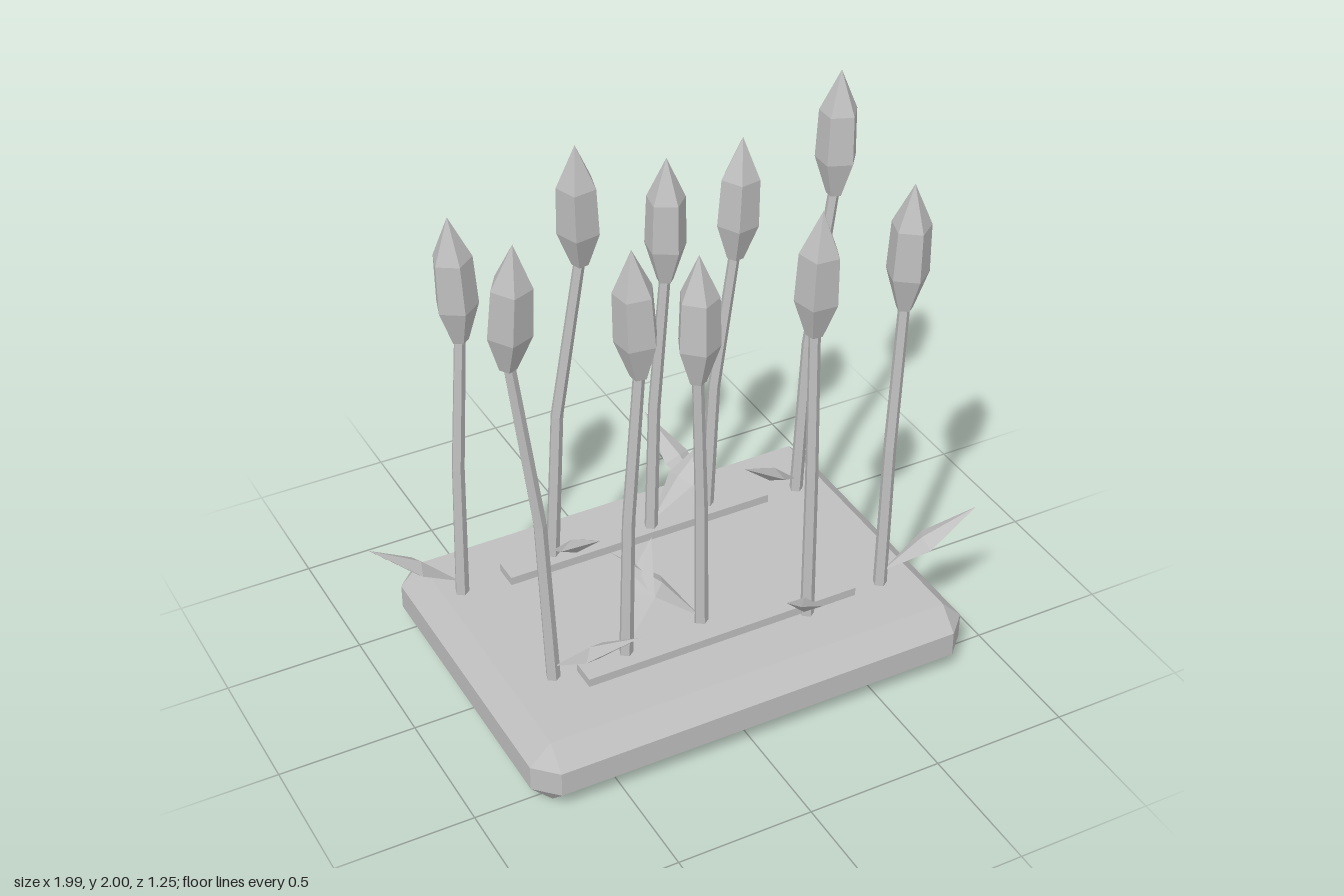
import * as THREE from 'three';
import { ConvexGeometry } from 'three/addons/geometries/ConvexGeometry.js';

const grey = new THREE.MeshStandardMaterial({ color: 0xbfbfbf });
grey.name = 'plain grey';

const UP = new THREE.Vector3(0, 1, 0);

// Each reed: stem base [x, z], neck under the head, head tip, leaf tip [x, z]
const REEDS = [
  { base: [-0.665, -0.32], neck: [-0.615, 1.295, -0.33], tip: [-0.635, 1.77, -0.335], leaf: [-0.995, -0.34] },
  { base: [-0.305, -0.33], neck: [-0.18, 1.485, -0.3], tip: [-0.21, 1.96, -0.26], leaf: [-0.265, -0.015] },
  { base: [0.085, -0.31], neck: [0.14, 1.325, -0.3], tip: [0.145, 1.8, -0.3], leaf: [0.395, -0.405] },
  { base: [0.33, -0.335], neck: [0.425, 1.325, -0.32], tip: [0.445, 1.795, -0.315], leaf: [0.23, -0.635] },
  { base: [0.69, -0.295], neck: [0.795, 1.5, -0.28], tip: [0.81, 1.97, -0.29], leaf: [0.38, -0.145] },
  { base: [-0.58, 0.245], neck: [-0.685, 1.53, 0.215], tip: [-0.675, 2.0, 0.265], leaf: [-0.38, 0.51] },
  { base: [-0.32, 0.28], neck: [-0.265, 1.41, 0.29], tip: [-0.29, 1.885, 0.29], leaf: [-0.1, 0.05] },
  { base: [-0.01, 0.25], neck: [-0.035, 1.295, 0.255], tip: [-0.03, 1.77, 0.25], leaf: [-0.265, 0.06] },
  { base: [0.355, 0.355], neck: [0.35, 1.41, 0.34], tip: [0.35, 1.885, 0.365], leaf: [0.165, 0.62] },
  { base: [0.67, 0.33], neck: [0.715, 1.385, 0.31], tip: [0.722, 1.86, 0.32], leaf: [0.99, 0.43] },
];

function part(geometry, name) {
  const flat = geometry.index ? geometry.toNonIndexed() : geometry;
  flat.computeVertexNormals();
  const mesh = new THREE.Mesh(flat, grey);
  mesh.name = name;
  return mesh;
}

const lathe = (profile, sides, phase = 0) =>
  new THREE.LatheGeometry(profile.map(([r, y]) => new THREE.Vector2(r, y)), sides, phase);

// Box with chamfered edges and cut corners
function chamferedBox(w, h, d, c) {
  const points = [];
  for (const x of [-1, 1]) for (const y of [-1, 1]) for (const z of [-1, 1]) {
    for (const axis of [0, 1, 2]) {
      const inset = [c, c, c];
      inset[axis] = 0;
      points.push(new THREE.Vector3(x * (w / 2 - inset[0]), y * (h / 2 - inset[1]), z * (d / 2 - inset[2])));
    }
  }
  return new ConvexGeometry(points);
}

// Five-sided tapering stem whose lean grows with height
function makeStem([bx, bz], neck) {
  const y0 = 0.245, h = neck[1] + 0.03 - y0;
  const g = new THREE.CylinderGeometry(0.021, 0.026, h, 5, 2);
  g.translate(0, h / 2, 0);
  const p = g.attributes.position;
  for (let i = 0; i < p.count; i++) {
    const t = (p.getY(i) / h) ** 2;
    p.setXYZ(i, p.getX(i) + bx + (neck[0] - bx) * t, p.getY(i) + y0, p.getZ(i) + bz + (neck[2] - bz) * t);
  }
  return part(g, 'stem');
}

// Pointed five-sided seed head
function makeHead(neck, tip, phase) {
  const from = new THREE.Vector3(...neck);
  const axis = new THREE.Vector3(...tip).sub(from);
  const h = axis.length();
  const profile = [[0, 0], [0.03, 0], [0.076, h * 0.29], [0.07, h * 0.67], [0, h]];
  const head = part(lathe(profile, 5, phase), 'seedHead');
  head.position.copy(from);
  head.quaternion.setFromUnitVectors(UP, axis.normalize());
  return head;
}

// Flat diamond leaf rising outward from the stem foot
function makeLeaf([bx, bz], [tx, tz]) {
  const from = new THREE.Vector3(bx, 0.295, bz);
  const dir = new THREE.Vector3(tx, 0.54, tz).sub(from);
  const length = dir.length();
  dir.normalize();
  const side = new THREE.Vector3().crossVectors(UP, dir).normalize();
  const normal = new THREE.Vector3().crossVectors(side, dir);
  const g = lathe([[0, 0], [0.012, 0.02], [1, 0.48], [0, 1]], 4);
  g.scale(0.06, length, 0.025);
  g.applyMatrix4(new THREE.Matrix4().makeBasis(side, dir, normal).setPosition(from));
  return part(g, 'leaf');
}

export function createModel() {
  const model = new THREE.Group();
  model.name = 'reedBed';

  // Base slab
  const base = part(chamferedBox(1.69, 0.25, 1.235, 0.078), 'base');
  base.position.set(0.035, 0.125, 0);
  model.add(base);

  // Low strips along both rows
  for (const z of [-0.317, 0.303]) {
    const strip = part(new THREE.BoxGeometry(1.05, 0.04, 0.095), 'rowStrip');
    strip.position.set(0.03, 0.262, z);
    model.add(strip);
  }

  // Reeds
  REEDS.forEach(({ base: foot, neck, tip, leaf }, i) => {
    const reed = new THREE.Group();
    reed.name = 'reed';
    reed.add(makeStem(foot, neck), makeHead(neck, tip, i * 0.7), makeLeaf(foot, leaf));
    model.add(reed);
  });

  return model;
}
